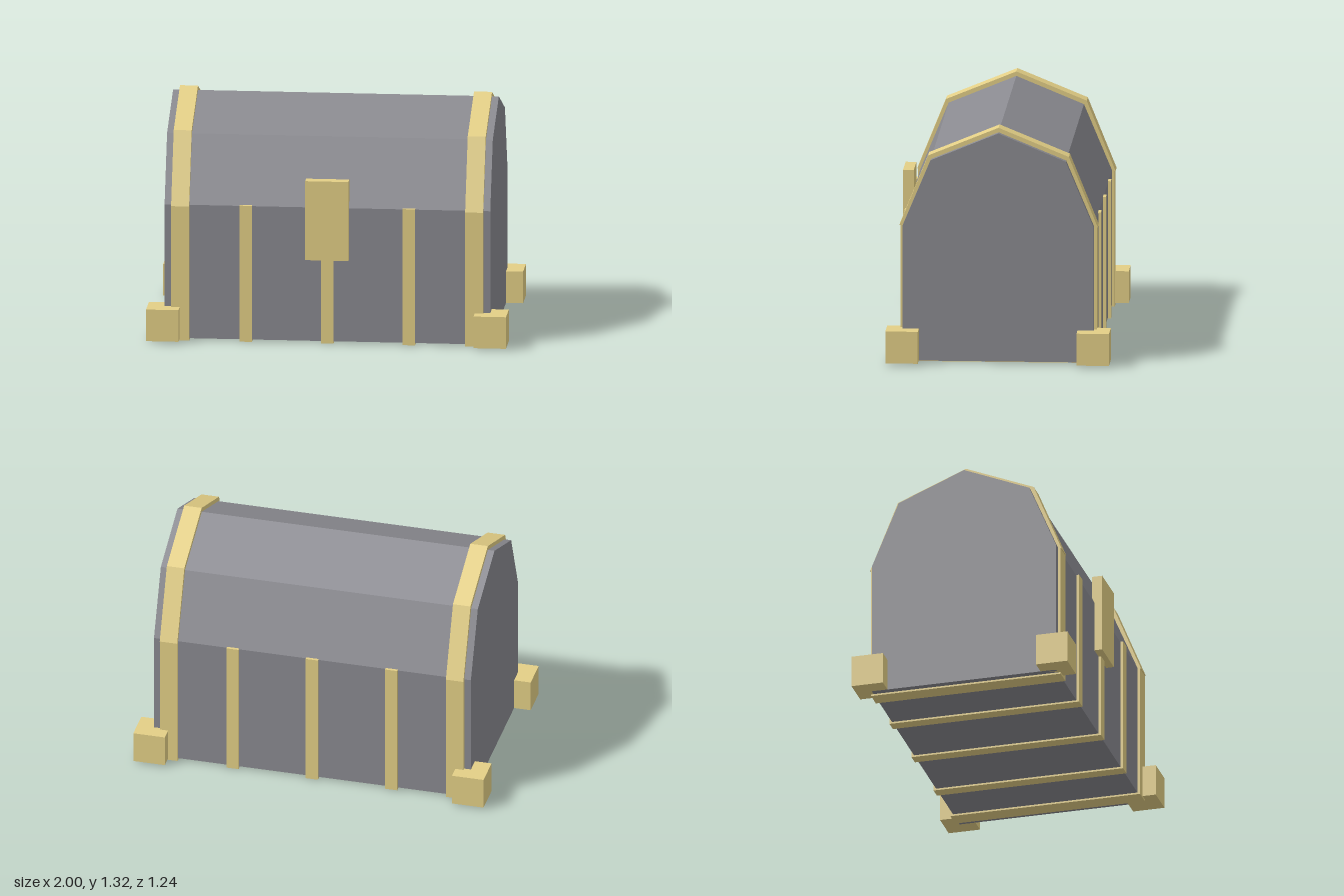
import * as THREE from 'three';

const grey = new THREE.MeshStandardMaterial({ color: 0x8a8a90, flatShading: true });
const gold = new THREE.MeshStandardMaterial({ color: 0xe3cf86, flatShading: true });

// Half outlines as [z, y], from the side up to the ridge
const bodyHalf = [[0.53, 0.01], [0.53, 0.77], [0.375, 1.14], [0, 1.295]];
const bandOuter = [[0.55, 0.765], [0.39, 1.16], [0, 1.32]];

// Mirrors a half outline into a full arch running from +z to -z
const arch = (half) => [...half, ...half.slice(0, -1).reverse().map(([z, y]) => [-z, y])];

export function createModel() {
  const group = new THREE.Group();

  const add = (name, geometry, material, x = 0, y = 0, z = 0) => {
    const mesh = new THREE.Mesh(geometry, material);
    mesh.name = name;
    mesh.position.set(x, y, z);
    group.add(mesh);
  };
  // Extrudes a (z, y) outline along x, centred on x = 0
  const prism = (outline, width) => {
    const shape = new THREE.Shape(outline.map(([z, y]) => new THREE.Vector2(z, y)));
    return new THREE.ExtrudeGeometry(shape, { depth: width, bevelEnabled: false })
      .translate(0, 0, -width / 2)
      .rotateY(-Math.PI / 2);
  };

  // Chest body with its faceted lid
  add('chestBody', prism(arch(bodyHalf), 1.81), grey);

  // Bent bands over the lid and wide straps round the lower body
  const bandOutline = [...arch(bandOuter), ...arch(bodyHalf.slice(1)).reverse()];
  for (const x of [-0.817, 0.817]) {
    add('lidBand', prism(bandOutline, 0.1), gold, x);
    add('wideStrap', new THREE.BoxGeometry(0.1, 0.77, 1.09), gold, x, 0.385);
  }

  // Narrow straps round the lower body
  for (const x of [-0.453, 0, 0.453]) {
    add('narrowStrap', new THREE.BoxGeometry(0.07, 0.775, 1.09), gold, x, 0.3875);
  }

  // Lock plate
  add('lockPlate', new THREE.BoxGeometry(0.24, 0.45, 0.06), gold, 0, 0.705, 0.545);

  // Corner feet
  for (const x of [-0.91, 0.91]) {
    for (const z of [-0.53, 0.53]) {
      add('cornerFoot', new THREE.BoxGeometry(0.18, 0.18, 0.18), gold, x, 0.1, z);
    }
  }
  return group;
}
